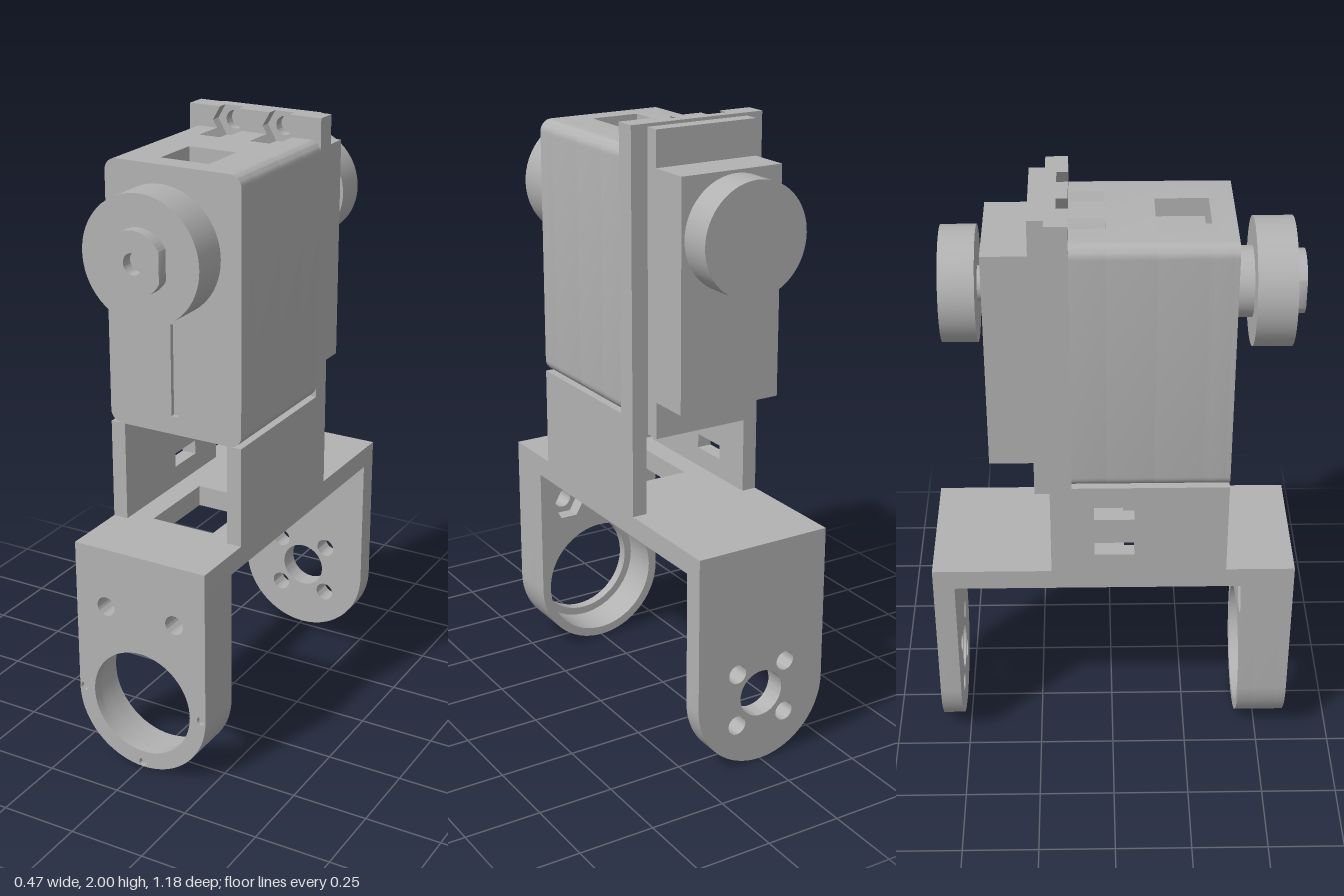
import * as THREE from 'three';
import { toCreasedNormals } from 'three/addons/utils/BufferGeometryUtils.js';

const grey = new THREE.MeshStandardMaterial({ color: 0xb2b2b2 });
grey.name = 'plain grey';

const MID = 1.505;   // mid height of the motor case
const AXLE = 1.69;   // height of the output axle
const RING = 0.235;  // height of the leg holes, and half the model width

export function createModel() {
  const model = new THREE.Group();

  const part = (name, geometry, parent) => {
    const mesh = new THREE.Mesh(geometry, grey);
    mesh.name = name;
    parent.add(mesh);
    return mesh;
  };
  const group = (name) => {
    const g = new THREE.Group();
    g.name = name;
    model.add(g);
    return g;
  };
  const poly = (pts) => new THREE.Shape(pts.map(([x, y]) => new THREE.Vector2(x, y)));
  const circle = (x, y, r) => new THREE.Path().absarc(x, y, r, 0, Math.PI * 2, true);
  const hex = (x, y, r) => new THREE.Path(Array.from({ length: 6 }, (_, i) =>
    new THREE.Vector2(x + r * Math.cos(-i * Math.PI / 3), y + r * Math.sin(-i * Math.PI / 3))));
  const rect = (x0, x1, y0, y1) => [[x0, y0], [x1, y0], [x1, y1], [x0, y1]];

  // Slab with a front outline and holes, from z0 to z1
  const slab = (name, parent, shape, z0, z1, holes = [], y = 0) => {
    shape.holes.push(...holes);
    const g = new THREE.ExtrudeGeometry(shape, { depth: z1 - z0, bevelEnabled: false, curveSegments: 32 });
    g.translate(0, y, z0);
    return part(name, toCreasedNormals(g, 0.6), parent);
  };
  const box = (name, parent, x0, x1, y0, y1, z0, z1) => {
    const g = new THREE.BoxGeometry(x1 - x0, y1 - y0, z1 - z0);
    g.translate((x0 + x1) / 2, (y0 + y1) / 2, (z0 + z1) / 2);
    return part(name, g, parent);
  };
  const disc = (name, parent, r, z0, z1) => {
    const g = new THREE.CylinderGeometry(r, r, z1 - z0, 64);
    g.rotateX(Math.PI / 2);
    g.translate(0, AXLE, (z0 + z1) / 2);
    return part(name, g, parent);
  };

  // Outline pieces of the motor case, relative to its mid height
  const W = 0.235, H = 0.425, R = 0.04;
  const corner = (sx, sy, a) => Array.from({ length: 9 }, (_, i) => {
    const t = a + i * Math.PI / 16;
    return [sx * (W - R) + R * Math.cos(t), sy * (H - R) + R * Math.sin(t)];
  });
  const tr = corner(1, 1, 0), tl = corner(-1, 1, Math.PI / 2);
  const bl = corner(-1, -1, Math.PI), br = corner(1, -1, Math.PI * 1.5);
  const turn = (pts) => pts.map(([x, y]) => [-x, -y]);
  // Two hexagonal nut slots cut into a top edge at height h
  const nutSlots = (h) => [0.09, -0.09].flatMap((cx) => {
    const c = 0.45, r = 0.06, a = r * Math.sqrt(3) / 2;
    const w = r - Math.abs(h - c) / Math.sqrt(3);
    const pts = [[cx + w, h], [cx + r, c], [cx + r / 2, c - a], [cx - r / 2, c - a], [cx - r, c], [cx - w, h]];
    return h > c ? pts : pts.filter((p) => p[1] !== c);
  });

  // Motor case, stacked front to back in slabs
  const motor = group('motorCase');
  const caseSlab = (name, pts, z0, z1, holes) => slab(name, motor, poly(pts), z0, z1, holes, MID);
  const plain = [...tr, ...tl, ...bl, ...br];
  const slit = new THREE.Path([[-0.012, -0.365], [-0.012, -0.065], [0.012, -0.065], [0.012, -0.365]]
    .map(([x, y]) => new THREE.Vector2(x, y)));
  caseSlab('caseFront', plain, 0.355, 0.37, [slit]);
  caseSlab('caseFrontCore', plain, 0.295, 0.355);
  const half = [[0.083, -H], ...br, ...tr, [0.083, H]];
  caseSlab('caseGapLeft', half, 0.285, 0.295);
  caseSlab('caseGapRight', turn(half), 0.285, 0.295);
  caseSlab('caseWindow',
    [...tr, [0.083, H], [0.083, H - 0.06], [-0.083, H - 0.06], [-0.083, H], ...tl, ...bl, ...br], 0.13, 0.285);
  caseSlab('caseCore', plain, -0.02, 0.13);
  caseSlab('caseNutSlots', [...tr, ...nutSlots(H), ...tl, ...bl, ...turn(nutSlots(H)), ...br], -0.13, -0.02);

  // Mounting flange, narrower at the bottom where it sits between the walls
  const F = 0.495;
  const flange = (slots) => [[W, -H], [W, F], ...(slots ? nutSlots(F) : []), [-W, F], [-W, -H], [-0.185, -H],
    [-0.185, -F], ...(slots ? turn(nutSlots(F)) : []), [0.185, -F], [0.185, -H]];
  caseSlab('flangeFront', flange(true), -0.165, -0.13);
  caseSlab('flangeBack', flange(false), -0.2, -0.165,
    [0.09, -0.09].flatMap((x) => [circle(x, 0.45, 0.03), circle(x, -0.45, 0.03)]));
  box('backPlate', motor, -0.178, 0.178, 1.02, 1.99, -0.25, -0.2);
  box('backCover', motor, -0.178, 0.178, 1.14, 1.875, -0.39, -0.25);

  // Output wheel with flattened hub in front, idler wheel behind
  const wheels = group('wheels');
  disc('frontShaft', wheels, 0.11, 0.37, 0.43);
  disc('frontWheel', wheels, 0.2, 0.43, 0.552);
  const a = Math.acos(0.88);
  const hub = new THREE.Shape();
  hub.absarc(0, 0, 0.1, a, Math.PI - a, false);
  hub.absarc(0, 0, 0.1, Math.PI + a, Math.PI * 2 - a, false);
  hub.closePath();
  slab('frontHub', wheels, hub, 0.552, 0.59, [circle(0, 0, 0.033)], AXLE);
  disc('rearShaft', wheels, 0.055, -0.41, -0.39);
  disc('rearWheel', wheels, 0.18, -0.52, -0.41);

  // Bracket deck with a rectangular opening
  const bracket = group('bracket');
  const deckY = [0.68, 0.75];
  box('deckFront', bracket, -W, W, ...deckY, 0.33, 0.595);
  box('deckBack', bracket, -W, W, ...deckY, -0.59, 0.04);
  for (const s of [-1, 1]) {
    const [x0, x1] = s > 0 ? [0.11, W] : [-W, -0.11];
    box('deckSide', bracket, x0, x1, ...deckY, 0.04, 0.33);
  }

  // Side walls; the right one has two slots
  box('leftWall', bracket, 0.185, W, 0.75, 1.08, -0.2, 0.37);
  const wall = poly(rect(-0.37, 0.2, 0.75, 1.08));
  for (const y of [0.84, 0.98]) {
    wall.holes.push(new THREE.Path(rect(-0.07, 0.06, y - 0.024, y + 0.024)
      .reverse().map(([u, v]) => new THREE.Vector2(u, v))));
  }
  const wallGeometry = new THREE.ExtrudeGeometry(wall, { depth: 0.05, bevelEnabled: false });
  wallGeometry.rotateY(Math.PI / 2);
  wallGeometry.translate(-W, 0, 0);
  part('rightWall', wallGeometry, bracket);

  // Round-ended legs
  const leg = () => {
    const s = new THREE.Shape();
    s.moveTo(W, 0.68);
    s.lineTo(-W, 0.68);
    s.absarc(0, RING, W, Math.PI, Math.PI * 2, false);
    s.closePath();
    return s;
  };
  const screws = (make, r) => [-0.125, 0.125].map((x) => make(x, 0.55, r));
  const marks = [[-0.218, RING], [0.218, RING], [0, RING - 0.218]].map(([x, y]) => circle(x, y, 0.014));
  slab('frontLegFace', bracket, leg(), 0.58, 0.595, [circle(0, RING, 0.178), ...screws(circle, 0.032), ...marks]);
  slab('frontLegLip', bracket, leg(), 0.56, 0.58, [circle(0, RING, 0.178), ...screws(circle, 0.032)]);
  slab('frontLegBore', bracket, leg(), 0.48, 0.56, [circle(0, RING, 0.205), ...screws(circle, 0.032)]);
  slab('frontLegNutPockets', bracket, leg(), 0.43, 0.48, [circle(0, RING, 0.205), ...screws(hex, 0.06)]);
  const bolts = [[1, 1], [-1, 1], [-1, -1], [1, -1]].map(([u, v]) => circle(u * 0.09, RING + v * 0.09, 0.032));
  slab('rearLeg', bracket, leg(), -0.59, -0.52, [circle(0, RING, 0.078), ...bolts]);

  return model;
}
